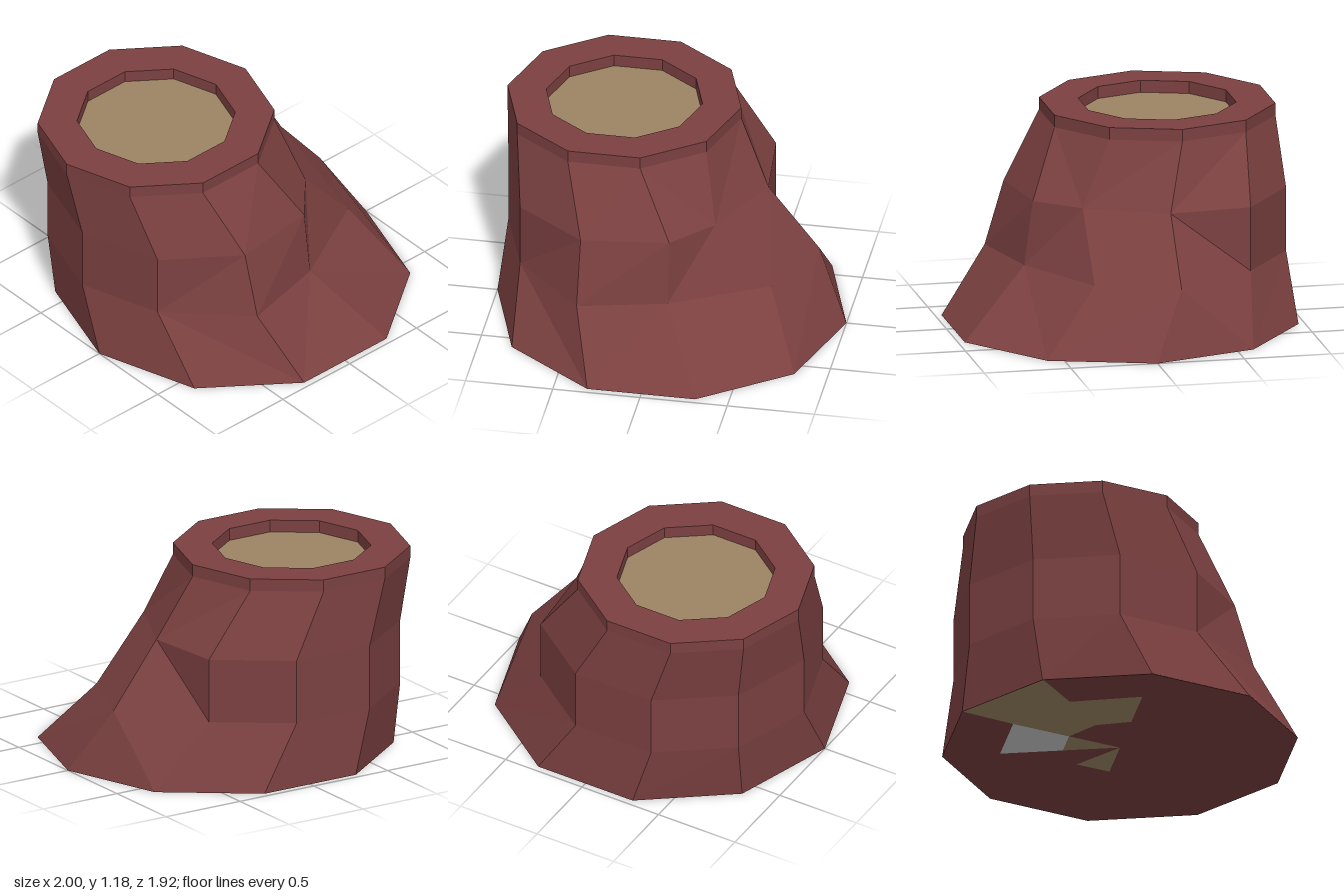
import * as THREE from 'three';

const SIDES = 10;

// ten-sided horizontal ring; "moved" shifts single corners to [x, z]
function ring(y, cx, cz, radius, moved = {}) {
  return Array.from({ length: SIDES }, (_, i) => {
    const a = (i / SIDES) * Math.PI * 2;
    const [x, z] = moved[i] || [cx + radius * Math.cos(a), cz + radius * Math.sin(a)];
    return [x, y, z];
  });
}

// skin between successive rings; "turned" lists the band:side quads split the other way
function loft(rings, turned = []) {
  const pos = [];
  for (let b = 0; b < rings.length - 1; b++) {
    for (let i = 0; i < SIDES; i++) {
      const j = (i + 1) % SIDES;
      const [p, q, r, s] = [rings[b][i], rings[b + 1][i], rings[b + 1][j], rings[b][j]];
      const tris = turned.includes(`${b}:${i}`) ? [p, q, r, p, r, s] : [p, q, s, s, q, r];
      tris.forEach((v) => pos.push(...v));
    }
  }
  const g = new THREE.BufferGeometry();
  g.setAttribute('position', new THREE.Float32BufferAttribute(pos, 3));
  g.computeVertexNormals();
  return g;
}

// flat downward-facing polygon from [x, z] corners
function underside(points, y) {
  const shape = new THREE.Shape(points.map(([x, z]) => new THREE.Vector2(x, z)));
  return new THREE.ShapeGeometry(shape).rotateX(Math.PI / 2).translate(0, y, 0);
}

export function createModel() {
  const group = new THREE.Group();
  const bark = new THREE.MeshStandardMaterial({ color: 0x7b4040, flatShading: true });
  const wood = new THREE.MeshStandardMaterial({ color: 0x9c8463, flatShading: true });
  const grey = new THREE.MeshStandardMaterial({ color: 0xcccccc, flatShading: true });
  const add = (name, geometry, material) => {
    const mesh = new THREE.Mesh(geometry, material);
    mesh.name = name;
    group.add(mesh);
  };

  // leaning trunk, flared at the front and left
  const cx = -0.325, cz = -0.285;
  const base = ring(0, 0, 0, 1);
  base.forEach((p) => { p[2] *= 1.012; });
  const trunk = [
    base,
    ring(0.37, -0.17, -0.18, 0.8, { 0: [0.81, -0.18], 1: [0.62, 0.28], 2: [0.08, 0.57], 3: [-0.42, 0.69] }),
    ring(0.74, -0.17, -0.18, 0.8, { 0: [0.52, -0.18], 1: [0.3, 0.28], 2: [0.08, 0.52] }),
    ring(1.11, cx, cz, 0.67),
    ring(1.18, cx, cz, 0.67),
  ];
  add('trunk', loft(trunk, ['0:1', '0:3', '0:9', '1:9', '2:1']), bark);

  // flat rim and the step down to the cut wood
  add('rim', loft([trunk[4], ring(1.18, cx, cz, 0.448), ring(1.11, cx, cz, 0.448)]), bark);
  add('cutWood', new THREE.CircleGeometry(0.448, SIDES).rotateX(-Math.PI / 2).translate(cx, 1.11, cz), wood);

  // underside with a few exposed patches
  add('underside', underside(base.map((p) => [p[0], p[2]]), 0.003), bark);
  add('woodPatchSmall', underside([[0.325, 0], [0.266, -0.2], [0, 0]], 0), wood);
  add('woodPatchMiddle', underside([[0, 0], [0.096, -0.31], [-0.095, -0.31]], 0), wood);
  add('woodPatchLarge', underside([
    [-0.095, -0.31], [-0.2, -0.65], [-0.31, -0.96], [-0.81, -0.59],
    [-0.55, -0.39], [-0.69, 0], [-0.35, 0], [-0.27, -0.19],
  ], 0), wood);
  add('greyPatch', underside([[0.096, -0.31], [0.203, -0.65], [-0.2, -0.65], [-0.095, -0.31]], 0), grey);
  return group;
}
